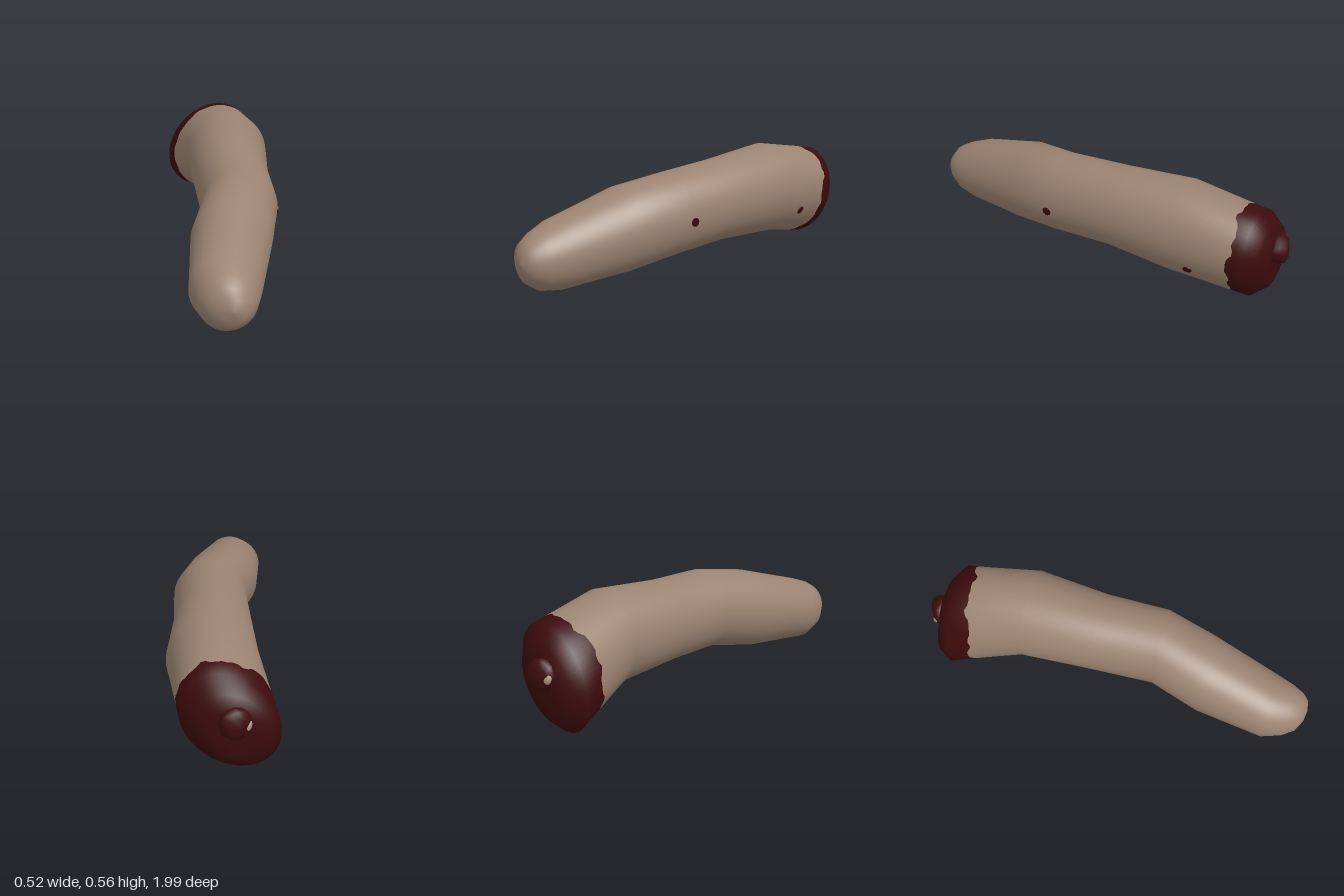
import * as THREE from 'three';

const skin = new THREE.MeshStandardMaterial({ color: 0x9b8371 });
skin.name = 'skin';
const flesh = new THREE.MeshStandardMaterial({ color: 0x3c0b0c });
flesh.name = 'raw flesh';
const bone = new THREE.MeshStandardMaterial({ color: 0xa8967c });
bone.name = 'bone';

// Cross-sections from tip to stump: z, xMin, xMax, yMin, yMax, tilt
const SECTIONS = [
  [1.0, -0.055, -0.055, 0.17, 0.17, 0],
  [0.99, -0.11, 0.0, 0.11, 0.225, 0],
  [0.96, -0.165, 0.03, 0.065, 0.27, 0],
  [0.9, -0.205, 0.06, 0.025, 0.305, 0],
  [0.8, -0.24, 0.09, 0.008, 0.345, 0],
  [0.45, -0.21, 0.18, 0.04, 0.46, 0],
  [0.2, -0.14, 0.235, 0.09, 0.505, 0],
  [-0.12, -0.155, 0.23, 0.105, 0.525, 0],
  [-0.48, -0.175, 0.26, 0.095, 0.565, 0],
  [-0.85, -0.26, 0.2, 0.005, 0.5, 0.25],
  [-0.91, -0.22, 0.13, 0.06, 0.43, 0.25],
  [-0.935, -0.12, 0.06, 0.13, 0.35, 0.1],
  [-0.92, -0.03, -0.03, 0.26, 0.26, 0],
];
const SEG = 60;
const CUT = 9; // the skin ends in an extra ragged ring inserted here

function ringPoint([z, x0, x1, y0, y1, tilt], t) {
  return new THREE.Vector3(
    (x0 + x1) / 2 + ((x1 - x0) / 2) * Math.cos(t - tilt),
    (y0 + y1) / 2 + ((y1 - y0) / 2) * Math.sin(t), z);
}

// Point on the straight run between two neighbouring cross-sections
function surfacePoint(z, t) {
  let i = 0;
  while (i < 10 && SECTIONS[i + 1][0] > z) i++;
  const a = SECTIONS[i], b = SECTIONS[i + 1];
  return ringPoint(a, t).lerp(ringPoint(b, t), (z - a[0]) / (b[0] - a[0]));
}

// Ragged border between skin and wound
function borderZ(t) {
  return -0.76 - 0.03 * Math.cos(t - 0.5) + 0.01 * Math.sin(5 * t + 1)
    + 0.007 * Math.sin(11 * t) + 0.005 * Math.sin(19 * t + 2);
}

function buildFinger() {
  const rings = SECTIONS.map((s) => (t) => ringPoint(s, t));
  rings.splice(CUT, 0, (t) => surfacePoint(borderZ(t), t));
  const pos = [], index = [];
  for (const ring of rings) {
    for (let j = 0; j < SEG; j++) pos.push(...ring((j / SEG) * Math.PI * 2).toArray());
  }
  for (let i = 0; i < rings.length - 1; i++) {
    for (let j = 0; j < SEG; j++) {
      const k = (j + 1) % SEG;
      const a = i * SEG + j, b = i * SEG + k, c = a + SEG, d = b + SEG;
      index.push(a, c, b, b, c, d);
    }
  }
  const g = new THREE.BufferGeometry();
  g.setAttribute('position', new THREE.Float32BufferAttribute(pos, 3));
  g.setIndex(index);
  g.computeVertexNormals();
  const split = CUT * SEG * 6;
  g.addGroup(0, split, 0);
  g.addGroup(split, index.length - split, 1);
  const mesh = new THREE.Mesh(g, [skin, flesh]);
  mesh.name = 'finger';
  return mesh;
}

// Small round spot lying on the skin
function buildSpot(z, t) {
  const p = surfacePoint(z, t);
  const along = surfacePoint(z + 0.01, t).sub(p);
  const around = surfacePoint(z, t + 0.01).sub(p);
  const normal = around.cross(along).normalize();
  const spot = new THREE.Mesh(new THREE.CylinderGeometry(0.022, 0.022, 0.008, 10), flesh);
  spot.position.copy(p);
  spot.quaternion.setFromUnitVectors(new THREE.Vector3(0, 1, 0), normal);
  spot.name = 'bloodSpot';
  return spot;
}

// Bone stub: a stubby lathe with its axis leaning back and to the side
function buildStub() {
  const stub = new THREE.Group();
  stub.name = 'boneStub';
  const lathe = (points, material, name) => {
    const g = new THREE.LatheGeometry(points.map(([r, y]) => new THREE.Vector2(r, y)), 14);
    const mesh = new THREE.Mesh(g, material);
    mesh.name = name;
    stub.add(mesh);
  };
  lathe([[0.06, -0.04], [0.066, 0.02], [0.078, 0.05], [0.07, 0.078], [0.045, 0.095], [0, 0.1]], flesh, 'stubFlesh');
  // pale exposed corner
  const tip = new THREE.Mesh(new THREE.SphereGeometry(0.03, 12, 8), bone);
  tip.name = 'exposedBone';
  tip.scale.set(0.7, 0.7, 1);
  tip.position.set(-0.042, 0.078, 0.01);
  stub.add(tip);
  stub.position.set(-0.03, 0.3, -0.89);
  const axis = new THREE.Vector3(-0.4, 0.05, -0.9).normalize();
  stub.quaternion.setFromUnitVectors(new THREE.Vector3(0, 1, 0), axis);
  return stub;
}

export function createModel() {
  const model = new THREE.Group();
  model.name = 'severedFinger';
  model.add(buildFinger(), buildStub(), buildSpot(0.19, -0.07), buildSpot(-0.59, -0.4));
  return model;
}
